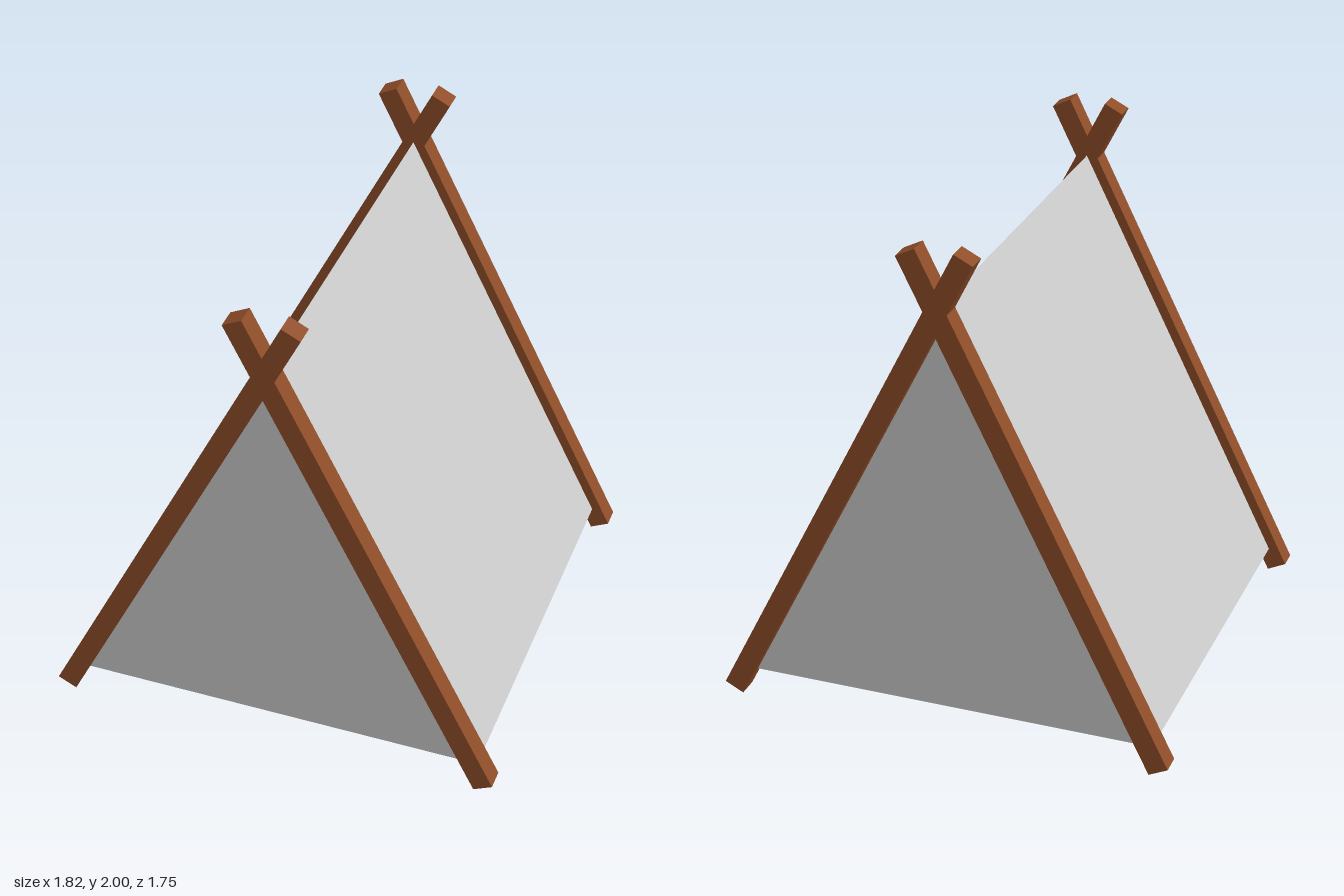
import * as THREE from 'three';

export function createModel() {
  const model = new THREE.Group();
  model.name = 'tent';
  const wood = new THREE.MeshStandardMaterial({ color: 0x8f4d28, flatShading: true });
  const cloth = new THREE.MeshStandardMaterial({ color: 0xcccccc, flatShading: true, side: THREE.DoubleSide });

  // Crossed poles at the front and back
  const foot = new THREE.Vector2(0.874, 0.019);
  const tip = new THREE.Vector2(-0.111, 1.981);
  const along = tip.clone().sub(foot);
  const poleGeometry = new THREE.BoxGeometry(0.083, along.length(), 0.083);
  const tilt = Math.atan2(-along.x, along.y);
  for (const [end, z] of [['front', 0.835], ['back', -0.835]]) {
    for (const [hand, side] of [['Left', 1], ['Right', -1]]) {
      const pole = new THREE.Mesh(poleGeometry, wood);
      pole.name = `${end}${hand}Pole`;
      pole.position.set(side * (foot.x + tip.x) / 2, (foot.y + tip.y) / 2, z);
      pole.rotation.z = side * tilt;
      model.add(pole);
    }
  }

  // Closed triangular canvas with its floor, ending midway through the poles
  const outline = new THREE.Shape([
    new THREE.Vector2(-0.837, 0.098),
    new THREE.Vector2(0.837, 0.098),
    new THREE.Vector2(0, 1.768),
  ]);
  const canvasGeometry = new THREE.ExtrudeGeometry(outline, { depth: 1.67, bevelEnabled: false });
  canvasGeometry.translate(0, 0, -0.835);
  const canvas = new THREE.Mesh(canvasGeometry, cloth);
  canvas.name = 'canvas';
  model.add(canvas);

  return model;
}
